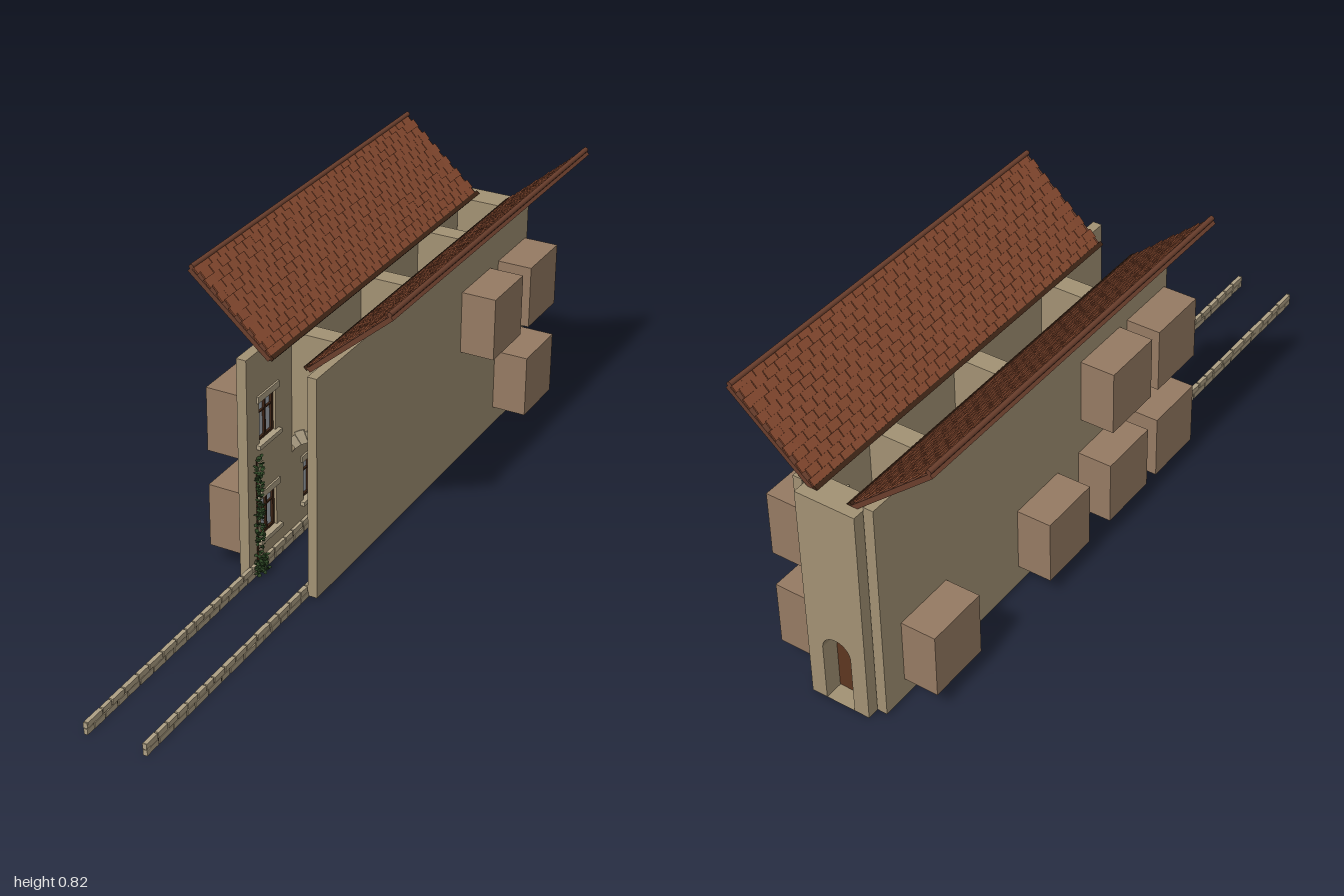
import * as THREE from 'three';
import { mergeGeometries } from 'three/addons/utils/BufferGeometryUtils.js';

const mat = (color, extra = {}) => new THREE.MeshStandardMaterial({ color, ...extra });
const M = {
  wall: mat(0xa39274), room: mat(0x967b63), stone: mat(0xb0a286), mortar: mat(0x4a4236),
  tile: mat(0x85492f), under: mat(0x6a3e2c), wood: mat(0x5e3620), darkWood: mat(0x3d2415),
  iron: mat(0x1c1a18), glass: mat(0xa9b0b8), leaf: mat(0x2c4423, { side: THREE.DoubleSide }),
};

let seed = 7;
const rnd = () => (seed = (seed * 16807) % 2147483647) / 2147483647;

function add(parent, name, geo, material, x = 0, y = 0, z = 0) {
  const m = new THREE.Mesh(geo, material);
  m.name = name;
  m.position.set(x, y, z);
  parent.add(m);
  return m;
}
const box = (w, h, d, x = 0, y = 0, z = 0) => new THREE.BoxGeometry(w, h, d).translate(x, y, z);
const extrude = (shape, depth) =>
  new THREE.ExtrudeGeometry(shape, { depth, bevelEnabled: false, curveSegments: 16 });

// Upright outline with a round head, used for the doorway
function archPath(half, height, P = THREE.Shape) {
  const p = new P();
  p.moveTo(-half, 0);
  p.lineTo(half, 0);
  p.lineTo(half, height - half);
  p.absarc(0, height - half, half, 0, Math.PI, false);
  p.lineTo(-half, 0);
  return p;
}

const WIN_W = 0.08, WIN_H = 0.12;

// Long side wall with window openings; wins holds [z, y] centres
function sideWall(name, inner, side, t, wins) {
  const g = new THREE.Group();
  g.name = name;
  const s = new THREE.Shape([[-0.97, 0.004], [0.25, 0.004], [0.25, 0.63], [-0.97, 0.63]]
    .map(p => new THREE.Vector2(...p)));
  for (const [z, y] of wins) {
    const a = WIN_W / 2, b = WIN_H / 2;
    s.holes.push(new THREE.Path([[z - a, y - b], [z - a, y + b], [z + a, y + b], [z + a, y - b]]
      .map(p => new THREE.Vector2(...p))));
  }
  const geo = extrude(s, t).rotateY(-Math.PI / 2);
  add(g, name + 'Panel', geo, M.wall, side > 0 ? inner + t : -inner);
  for (const [z, y] of wins) {
    const outer = inner + t;
    add(g, 'roomBox', box(0.21 - outer, 0.18, 0.176), M.room, side * (0.21 + outer) / 2, y, z);
    const w = windowUnit();
    w.position.set(side * inner, y, z);
    if (side > 0) w.rotation.y = Math.PI;
    g.add(w);
  }
  return g;
}

// Window facing local +x, with its wall face at x = 0
function windowUnit() {
  const g = new THREE.Group();
  g.name = 'window';
  const w = WIN_W, h = WIN_H, f = 0.008;
  add(g, 'glass', box(0.003, h, w, -0.015), M.glass);
  const bars = [-1, 1].flatMap(k => [
    box(0.008, h, f, -0.011, 0, k * (w - f) / 2), box(0.008, f, w, -0.011, k * (h - f) / 2, 0)]);
  bars.push(box(0.008, h, 0.006, -0.011), box(0.006, 0.004, w, -0.011, 0.02, 0));
  add(g, 'windowFrame', mergeGeometries(bars), M.darkWood);
  add(g, 'sill', box(0.018, 0.012, w + 0.03, 0.002, -h / 2 - 0.005, 0), M.stone);
  add(g, 'lintel', box(0.01, 0.018, w + 0.024, 0, h / 2 + 0.008, 0), M.stone);
  return g;
}

// Bridging wall over the alley with a ring of wedge stones
function bridge(z) {
  const g = new THREE.Group();
  g.name = 'archBridge';
  const R = 0.097, cy = 0.218, half = 0.086, a = Math.acos(half / R);
  const s = new THREE.Shape();
  s.moveTo(half, 0.612);
  s.lineTo(-half, 0.612);
  s.lineTo(-half, cy + R * Math.sin(a));
  s.absarc(0, cy, R, Math.PI - a, a, true);
  add(g, 'archWall', extrude(s, 0.055), M.wall, 0, 0, -0.0275);
  const n = 7, step = 1.78 / n;
  const stones = [];
  for (let i = 0; i < n; i++) {
    const mid = Math.PI / 2 + (i - (n - 1) / 2) * step, d = step * 0.47;
    const ro = i % 2 ? 0.132 : 0.126, ri = R - 0.002;
    const v = new THREE.Shape();
    v.absarc(0, cy, ro, mid - d, mid + d, false);
    v.absarc(0, cy, ri, mid + d, mid - d, true);
    stones.push(extrude(v, 0.063).translate(0, 0, -0.0315));
  }
  add(g, 'archStones', mergeGeometries(stones), M.stone);
  g.position.z = z;
  return g;
}

// Outward-rising roof: local x runs up the slope
function roof(side) {
  const g = new THREE.Group();
  g.name = side > 0 ? 'leftRoof' : 'rightRoof';
  const L = 0.298, len = 1.16;
  add(g, 'roofDeck', box(L, 0.013, len, L / 2, -0.004, 0), M.under);
  const rows = 13, cols = 29, tiles = [], rw = L / rows, cw = len / cols;
  for (let r = 0; r < rows; r++) for (let c = 0; c < cols; c++) {
    const t = box(rw * 1.12, 0.004, cw * 0.95).rotateZ(-0.12 - 0.05 * rnd());
    const shift = r % 2 ? 0.25 : -0.25;
    const z = THREE.MathUtils.clamp((c + 0.5 + shift) * cw - len / 2, -len / 2 + cw / 2, len / 2 - cw / 2);
    tiles.push(t.rotateZ(0.24).translate((r + 0.5) * rw, 0.006 + 0.001 * rnd(), z));
  }
  add(g, 'roofTiles', mergeGeometries(tiles), M.tile);
  add(g, 'ridge', new THREE.CylinderGeometry(0.007, 0.007, len, 10).rotateX(Math.PI / 2), M.under, L, 0.006, 0);
  add(g, 'eaveBoard', box(0.012, 0.012, len), M.darkWood, 0, 0.004, 0);
  g.rotation.z = Math.atan2(0.195, 0.225);
  g.position.set(0.052, 0.615, -0.39);
  const holder = new THREE.Group();
  holder.add(g);
  if (side < 0) holder.rotation.y = Math.PI;
  if (side < 0) holder.position.z = -0.78;
  holder.name = g.name + 'Side';
  return holder;
}

// Two courses of kerb stones over a dark core
function kerb(x) {
  const g = new THREE.Group();
  g.name = 'kerb';
  add(g, 'kerbCore', box(0.006, 0.028, 1.94, 0, 0.014, 0.02), M.mortar, x);
  const stones = [];
  for (let row = 0; row < 2; row++) {
    let z = -0.95;
    while (z < 0.999) {
      const l = Math.min(0.035 + 0.03 * rnd(), 1 - z);
      stones.push(box(0.01 + 0.002 * rnd(), 0.0155, Math.max(l - 0.004, 0.002), 0, 0.008 + row * 0.018, z + l / 2 + 0.002 - (z + l >= 0.999 ? 0.002 : 0)));
      z += l;
    }
  }
  add(g, 'kerbStones', mergeGeometries(stones), M.stone, x);
  return g;
}

// Climbing ivy: a stem with scattered leaves, bushier at the base
function ivy(side, z, height) {
  const g = new THREE.Group();
  g.name = 'ivy';
  const leaves = [];
  for (let i = 0; i < 260; i++) {
    const low = i < 80, y = low ? 0.045 * rnd() : height * rnd();
    const spread = low ? 0.03 : 0.018;
    const leaf = new THREE.CircleGeometry(0.006, 5).rotateX(rnd() * 6).rotateY(rnd() * 6);
    leaves.push(leaf.translate(side * (0.079 - (low ? 0.02 : 0.008) * rnd()), y + 0.006, z + (rnd() - 0.5) * 2 * spread));
  }
  add(g, 'leaves', mergeGeometries(leaves), M.leaf);
  add(g, 'stem', new THREE.CylinderGeometry(0.002, 0.003, height, 5), M.darkWood, side * 0.083, height / 2, z);
  return g;
}

// End wall with an arched plank door and a lantern
function endWall() {
  const g = new THREE.Group();
  g.name = 'endWall';
  const s = new THREE.Shape([[-0.084, 0], [0.084, 0], [0.084, 0.617], [-0.084, 0.617]]
    .map(p => new THREE.Vector2(...p)));
  s.holes.push(archPath(0.041, 0.203, THREE.Path));
  add(g, 'endWallBlock', extrude(s, 0.08), M.wall, 0, 0, -1);
  add(g, 'doorPanel', extrude(archPath(0.041, 0.203), 0.012), M.wood, 0, 0.001, -0.95);
  const ring = archPath(0.046, 0.209);
  ring.holes.push(archPath(0.039, 0.2, THREE.Path));
  add(g, 'doorFrame', extrude(ring, 0.02), M.darkWood, 0, 0, -0.935);
  for (let i = -2; i <= 2; i++) add(g, 'plankGap', box(0.002, 0.185 - 0.005 * i * i, 0.002), M.iron, i * 0.0135, 0.096 - 0.0025 * i * i, -0.9375);
  for (const y of [0.047, 0.145]) add(g, 'doorStrap', box(0.068, 0.006, 0.004), M.iron, 0, y, -0.937);
  add(g, 'doorKnob', new THREE.SphereGeometry(0.004, 10, 8), M.iron, 0.026, 0.1, -0.934);
  add(g, 'doorStep', box(0.1, 0.01, 0.05), M.stone, 0, 0.005, -0.897);
  const lamp = new THREE.Group();
  lamp.name = 'lantern';
  add(lamp, 'wallPlate', box(0.01, 0.032, 0.004), M.iron, 0, 0.03, -0.018);
  add(lamp, 'bracket', box(0.004, 0.004, 0.02), M.iron, 0, 0.022, -0.008);
  add(lamp, 'lanternCap', new THREE.ConeGeometry(0.013, 0.012, 4).rotateY(Math.PI / 4), M.iron, 0, 0.014, 0);
  add(lamp, 'lanternGlass', new THREE.CylinderGeometry(0.01, 0.007, 0.02, 4).rotateY(Math.PI / 4), M.glass);
  add(lamp, 'lanternBase', box(0.012, 0.003, 0.012), M.iron, 0, -0.011, 0);
  lamp.position.set(0.057, 0.218, -0.9);
  g.add(lamp);
  return g;
}

export function createModel() {
  const model = new THREE.Group();
  model.name = 'alley';
  model.add(
    sideWall('rightWall', 0.086, -1, 0.028,
      [[-0.81, 0.15], [-0.34, 0.15], [-0.07, 0.15], [0.15, 0.15], [-0.06, 0.43], [0.15, 0.43]]),
    sideWall('leftWall', 0.085, 1, 0.026, [[-0.64, 0.43], [-0.868, 0.43], [-0.868, 0.15]]),
    endWall(), roof(1), roof(-1), kerb(-0.083), kerb(0.08),
    ivy(-1, 0.212, 0.335), ivy(1, -0.2, 0.265));
  for (const z of [0, -0.372, -0.703]) model.add(bridge(z));
  return model;
}
